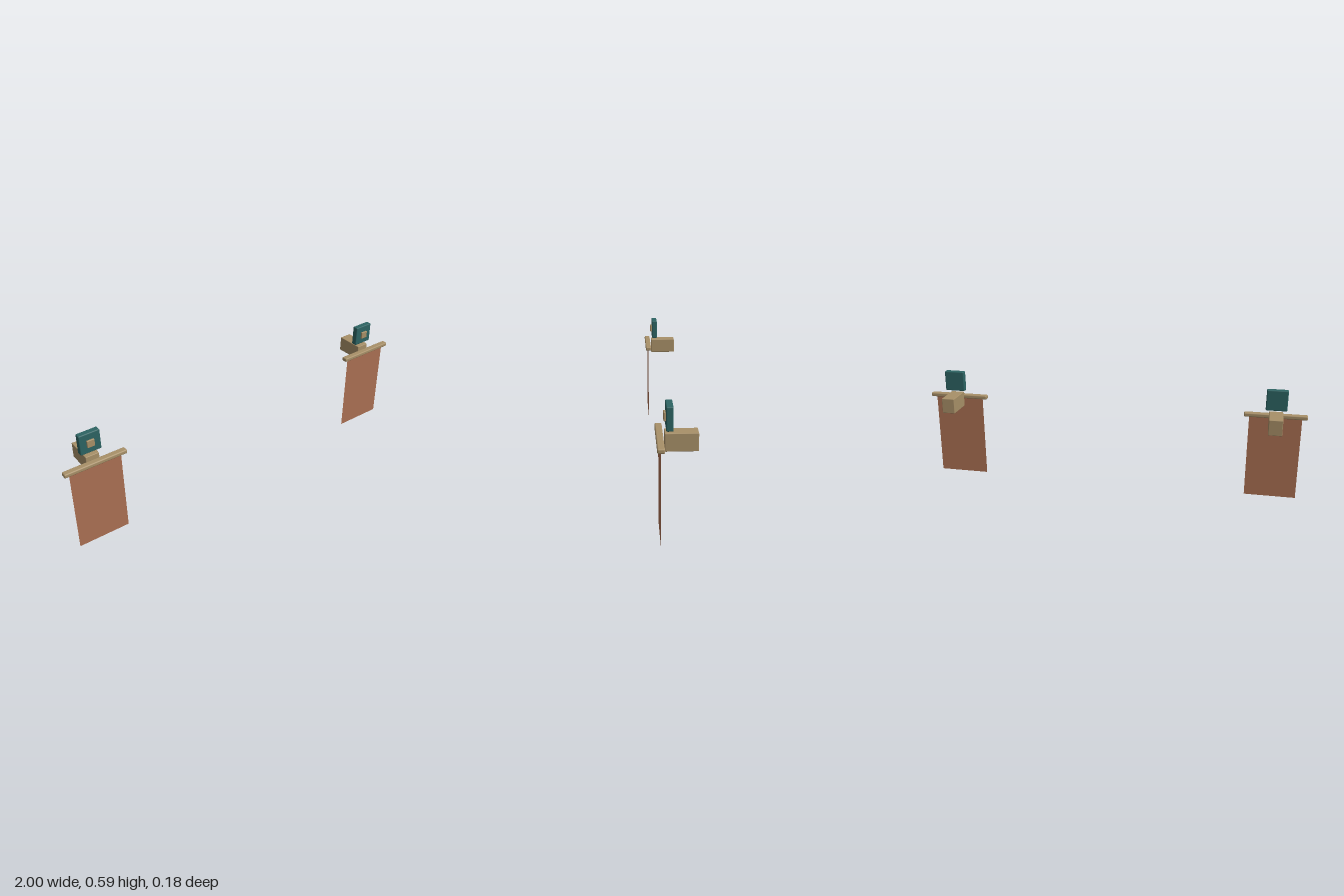
import * as THREE from 'three';
import { RoundedBoxGeometry } from 'three/addons/geometries/RoundedBoxGeometry.js';

const wood = new THREE.MeshStandardMaterial({ color: 0xa89068 });
const teal = new THREE.MeshStandardMaterial({ color: 0x2d6463 });
const cloth = new THREE.MeshStandardMaterial({ color: 0xab7053, side: THREE.DoubleSide });

// Box with softened edges, placed by its centre
function block(name, [w, h, d], [x, y, z], bevel, material) {
  const mesh = new THREE.Mesh(new RoundedBoxGeometry(w, h, d, 2, bevel), material);
  mesh.name = name;
  mesh.position.set(x, y, z);
  return mesh;
}

// One hanging banner with its wall bracket and plaque
function createBanner(name) {
  const banner = new THREE.Group();
  banner.name = name;

  banner.add(
    block('wallBracket', [0.068, 0.079, 0.14], [0, 0.4325, -0.0175], 0.003, wood),
    block('crossRod', [0.315, 0.021, 0.031], [0, 0.4425, 0.0725], 0.006, wood),
    block('plaque', [0.105, 0.105, 0.03], [0, 0.538, 0.0325], 0.005, teal),
    block('plaqueBoss', [0.038, 0.038, 0.01], [0, 0.538, 0.052], 0.003, wood)
  );

  // Thin cloth hanging just under the rod
  const sheet = new THREE.Mesh(new THREE.PlaneGeometry(0.262, 0.43), cloth);
  sheet.name = 'clothSheet';
  sheet.position.set(0, 0.215, 0.0725);
  banner.add(sheet);
  return banner;
}

export function createModel() {
  const model = new THREE.Group();
  model.name = 'bannerPair';
  for (const [name, side] of [['leftBanner', 1], ['rightBanner', -1]]) {
    const banner = createBanner(name);
    banner.position.x = side * 0.8425;
    model.add(banner);
  }
  return model;
}
